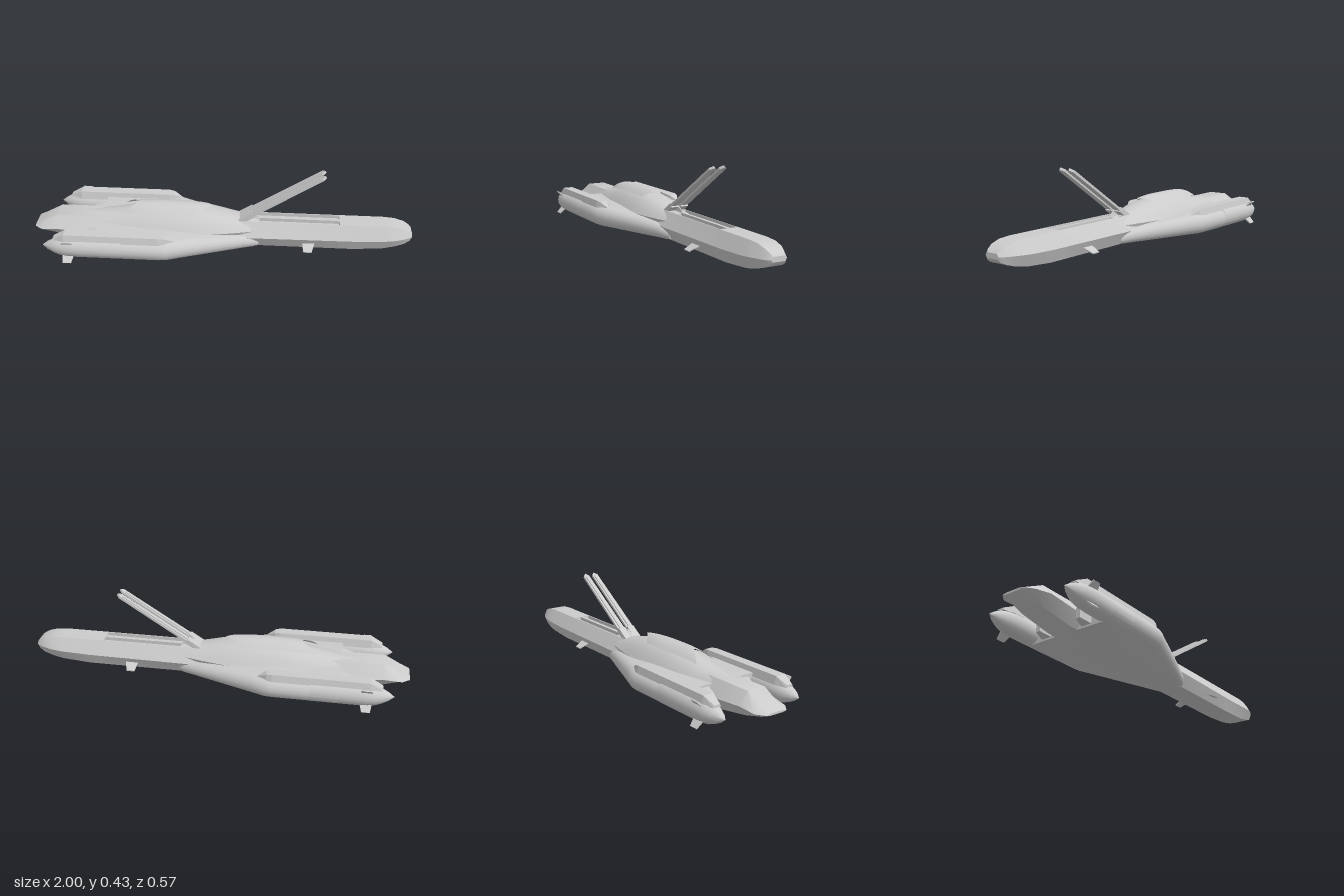
import * as THREE from 'three';
import { toCreasedNormals } from 'three/addons/utils/BufferGeometryUtils.js';

const material = new THREE.MeshStandardMaterial({ color: 0xcccccc, side: THREE.DoubleSide });

function addMesh(parent, name, geometry) {
  const mesh = new THREE.Mesh(geometry, material);
  mesh.name = name;
  parent.add(mesh);
  return mesh;
}

// Skin a closed surface over rings of [y, z] points placed at rising x
function loft(sections, crease = 0.5) {
  const pos = [], idx = [], n = sections[0].ring.length;
  for (const { x, ring } of sections) for (const [y, z] of ring) pos.push(x, y, z);
  for (let i = 0; i < sections.length - 1; i++) {
    for (let j = 0; j < n; j++) {
      const a = i * n + j, b = i * n + (j + 1) % n;
      idx.push(a, b, b + n, a, b + n, a + n);
    }
  }
  for (const i of [0, sections.length - 1]) {
    const { x, ring } = sections[i];
    const c = pos.length / 3;
    pos.push(x, ring.reduce((s, p) => s + p[0], 0) / n, ring.reduce((s, p) => s + p[1], 0) / n);
    for (let j = 0; j < n; j++) {
      const a = i * n + j, b = i * n + (j + 1) % n;
      if (i === 0) idx.push(c, b, a); else idx.push(c, a, b);
    }
  }
  const g = new THREE.BufferGeometry();
  g.setAttribute('position', new THREE.Float32BufferAttribute(pos, 3));
  g.setIndex(idx);
  return toCreasedNormals(g, crease);
}

// Half profile (top to bottom on +z) mirrored into a full ring
const mirrorRing = (half) => [...half, ...half.slice().reverse().map(([y, z]) => [y, -z])];

// Flat plate cut from an outline, centred on its thickness
function plate(points, thickness) {
  const shape = new THREE.Shape(points.map(([x, y]) => new THREE.Vector2(x, y)));
  const g = new THREE.ExtrudeGeometry(shape, { depth: thickness, bevelEnabled: false });
  return g.translate(0, 0, -thickness / 2);
}

// Central hull: faceted, with two long grooves in the deck
function spine() {
  // x, top, bottom, deck half width, widest half width, keel half width, groove depth
  const rows = [
    [-1, 0.08, 0.07, 0.04, 0.06, 0.04, 0],
    [-0.96, 0.1, 0.055, 0.046, 0.092, 0.05, 0],
    [-0.87, 0.147, 0.035, 0.05, 0.104, 0.06, 0],
    [-0.7, 0.147, 0.011, 0.05, 0.104, 0.065, 0],
    [0.15, 0.147, 0.011, 0.05, 0.098, 0.065, 0],
    [0.151, 0.147, 0.011, 0.05, 0.098, 0.065, 0.018],
    [0.619, 0.147, 0.011, 0.05, 0.092, 0.065, 0.018],
    [0.62, 0.147, 0.011, 0.05, 0.092, 0.065, 0],
    [0.7, 0.147, 0.011, 0.05, 0.091, 0.065, 0],
    [0.85, 0.147, 0.02, 0.05, 0.088, 0.06, 0],
    [0.91, 0.143, 0.031, 0.048, 0.082, 0.056, 0],
    [0.96, 0.129, 0.046, 0.045, 0.066, 0.05, 0],
    [0.99, 0.112, 0.062, 0.036, 0.05, 0.04, 0],
    [1, 0.1, 0.075, 0.03, 0.04, 0.032, 0],
  ];
  return loft(rows.map(([x, t, b, deck, wide, keel, d]) => ({
    x,
    ring: mirrorRing([
      [t, 0.009], [t - d, 0.0091], [t - d, deck * 0.9], [t, deck * 0.902], [t, deck],
      [b + (t - b) * 0.47, wide], [b, keel],
    ]),
  })));
}

// Broad flat body with round edges, tapering forward into the spine
function wingBody() {
  const rows = [
    [-0.65, 0.278, 0.122], [-0.31, 0.278, 0.122], [-0.27, 0.273, 0.121], [-0.2, 0.245, 0.116],
    [0, 0.168, 0.099], [0.12, 0.12, 0.085], [0.17, 0.1, 0.075], [0.2, 0.08, 0.06],
  ];
  return loft(rows.map(([x, w, top]) => {
    const r = (top - 0.011) / 2, half = [[top, 0]];
    for (let k = 0; k <= 8; k++) {
      const a = (k / 8) * Math.PI;
      half.push([0.011 + r + r * Math.cos(a), w - r + r * Math.sin(a)]);
    }
    half.push([0.011, 0]);
    return { x, ring: mirrorRing(half) };
  }), 0.7);
}

// Swollen back of the hull
function dome() {
  const rows = [
    [-0.78, 0.146, 0.06], [-0.66, 0.15, 0.08], [-0.54, 0.166, 0.105], [-0.42, 0.19, 0.125],
    [-0.28, 0.203, 0.135], [-0.15, 0.2, 0.135], [-0.05, 0.188, 0.125], [0.05, 0.165, 0.106],
    [0.12, 0.15, 0.09], [0.2, 0.143, 0.07],
  ];
  return loft(rows.map(([x, top, w]) => {
    const h = top - 0.105;
    const profile = [[1, 0], [0.97, 0.25], [0.86, 0.48], [0.6, 0.7], [0.3, 0.86], [0, 1]];
    return { x, ring: mirrorRing([...profile.map(([a, b]) => [0.105 + a * h, b * w]), [0.08, w * 0.9]]) };
  }), 0.8);
}

// Canopy shell with a swallowtail rear and a pointed front
function canopy() {
  const pos = [], idx = [], N = 20, M = 12;
  for (let i = 0; i <= N; i++) {
    for (let j = 0; j <= M; j++) {
      const v = (j / M) * 2 - 1, av = Math.abs(v);
      const x0 = -0.43 - 0.09 * av, x1 = -0.04 - 0.09 * av;
      const x = x0 + (x1 - x0) * (i / N);
      const u = (x + 0.28) / 0.25;
      const w = 0.072 - 0.017 * Math.min(1, u * u);
      const crown = 0.222 - 0.016 * Math.pow(Math.abs(u), 3);
      pos.push(x, crown - 0.035 * v * v, v * w);
    }
  }
  for (let i = 0; i < N; i++) {
    for (let j = 0; j < M; j++) {
      const a = i * (M + 1) + j, b = a + M + 1;
      idx.push(a, a + 1, b + 1, a, b + 1, b);
    }
  }
  const g = new THREE.BufferGeometry();
  g.setAttribute('position', new THREE.Float32BufferAttribute(pos, 3));
  g.setIndex(idx);
  g.computeVertexNormals();
  return g;
}

// Rounded engine pod closing to a cone at the rear
function pod(side) {
  const rows = [
    [-0.92, 0.004], [-0.89, 0.4], [-0.86, 0.66], [-0.83, 0.86], [-0.79, 0.97], [-0.74, 1], [-0.5, 1],
  ];
  return loft(rows.map(([x, s]) => ({
    x,
    ring: Array.from({ length: 20 }, (_, k) => {
      const a = (k / 20) * Math.PI * 2;
      return [0.068 + 0.057 * s * Math.cos(a), side * 0.222 + 0.056 * s * Math.sin(a)];
    }),
  })), 0.6);
}

// Raised plate along the top of a pod
function podRidge(side) {
  const rows = [
    [-0.86, 0.117, 0.016], [-0.8, 0.147, 0.028], [-0.31, 0.147, 0.028], [-0.28, 0.143, 0.022], [-0.235, 0.118, 0.002],
  ];
  return loft(rows.map(([x, t, w]) => ({
    x,
    ring: [[t, -w], [t, w], [0.105, w * 1.35], [0.105, -w * 1.35]].map(([y, z]) => [y, z + side * 0.218]),
  })), 0.2);
}

export function createModel() {
  const model = new THREE.Group();
  model.name = 'spacecraft';
  addMesh(model, 'spine', spine());
  addMesh(model, 'wingBody', wingBody());
  addMesh(model, 'dome', dome());
  addMesh(model, 'canopy', canopy());

  // Wedge between the feet of the two masts
  addMesh(model, 'mastFoot', loft([[0.08, 0.148, 0.02], [0.14, 0.185, 0.012], [0.2, 0.147, 0.004]].map(
    ([x, t, w]) => ({ x, ring: [[t, -w * 0.3], [t, w * 0.3], [0.13, w], [0.13, -w]] })), 0.2));

  for (const side of [1, -1]) {
    const s = side > 0 ? 'left' : 'right';
    addMesh(model, s + 'Pod', pod(side));
    addMesh(model, s + 'PodRidge', podRidge(side));

    // Tail block between pod and spine
    addMesh(model, s + 'TailBlock', loft([[-0.71, 0.035, 0.012], [-0.66, 0.045, 0.026], [-0.6, 0.047, 0.034]].map(
      ([x, h, w]) => ({ x, ring: [[h, -w], [h, w], [-h, w], [-h, -w]].map(([y, z]) => [y + 0.066, z + side * 0.12]) })), 0.2));

    // Slanted mast with a chamfered tip and a rib on its back
    const mast = new THREE.Group();
    mast.name = s + 'Mast';
    mast.position.set(0.105, 0.145, side * 0.028);
    mast.rotation.z = Math.atan2(0.275, 0.425);
    addMesh(mast, 'beam', plate([[0, -0.021], [0.49, -0.017], [0.508, 0], [0.49, 0.017], [0, 0.021]], 0.012).rotateX(Math.PI / 2));
    addMesh(mast, 'rib', new THREE.BoxGeometry(0.46, 0.008, 0.018).translate(0.25, 0.007, 0));
    addMesh(mast, 'collar', new THREE.BoxGeometry(0.08, 0.026, 0.04).translate(0.03, 0, 0));
    model.add(mast);

    // Small fins: position, angle from upright, span
    const fins = [
      ['UpperFin', -0.78, 0.09, 0.247, 45, 0.053],
      ['LowerFin', -0.78, 0.042, 0.245, 135, 0.057],
      ['BellyFin', 0.46, 0.045, 0.076, 115, 0.058],
    ];
    for (const [name, x, y, z, angle, span] of fins) {
      const fin = addMesh(model, s + name, plate([[-0.033, 0], [0.033, 0], [0.018, span], [-0.025, span]], 0.006));
      fin.position.set(x, y, side * z);
      fin.rotation.x = side * THREE.MathUtils.degToRad(angle);
    }
  }
  return model;
}
